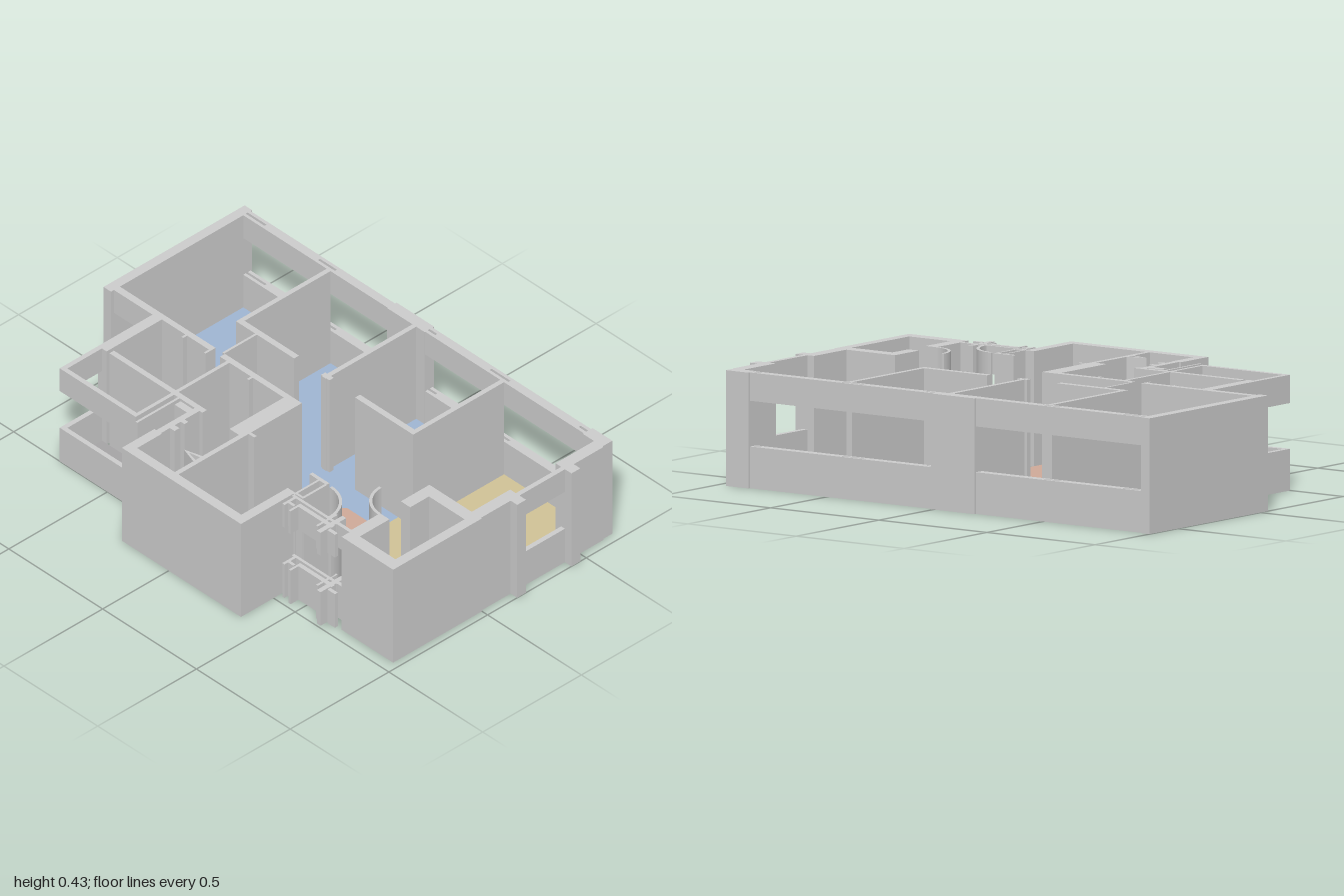
import * as THREE from 'three';

const HEIGHT = 0.43, SILL = 0.155, LINTEL = 0.325, FLOOR = 0.004;
const grey = new THREE.MeshStandardMaterial({ color: 0xcccccc });

export function createModel() {
  const model = new THREE.Group();

  const add = (parent, name, geometry, material = grey) => {
    const mesh = new THREE.Mesh(geometry, material);
    mesh.name = name;
    parent.add(mesh);
    return mesh;
  };

  // Upright block over the plan rectangle x0..x1, z0..z1
  const block = (parent, name, [x0, x1, z0, z1], y0 = 0, y1 = HEIGHT) =>
    add(parent, name, new THREE.BoxGeometry(x1 - x0, y1 - y0, z1 - z0))
      .position.set((x0 + x1) / 2, (y0 + y1) / 2, (z0 + z1) / 2);

  const section = (name) => {
    const g = new THREE.Group();
    g.name = name;
    model.add(g);
    return g;
  };
  const walls = (name, rects) => {
    const g = section(name);
    rects.forEach((r) => block(g, 'wall', r));
  };
  // Walls left open between sill and lintel
  const openWalls = (name, rects) => {
    const g = section(name);
    rects.forEach((r) => {
      block(g, 'sill', r, 0, SILL);
      block(g, 'lintel', r, LINTEL, HEIGHT);
    });
  };

  // Plan shape raised upwards from the ground
  const raise = (shape, depth) =>
    new THREE.ExtrudeGeometry(shape, { depth, bevelEnabled: false, curveSegments: 16 }).rotateX(-Math.PI / 2);

  const floors = section('floors');
  const floor = (name, color, points) => {
    const shape = new THREE.Shape(points.map(([x, z]) => new THREE.Vector2(x, -z)));
    add(floors, name, raise(shape, FLOOR), new THREE.MeshStandardMaterial({ color }));
  };
  const rect = (x0, x1, z0, z1) => [[x0, z0], [x1, z0], [x1, z1], [x0, z1]];

  // Floors
  const BLUE = 0x9fb5d2, TEAL = 0x96c0c2;
  floor('westRoomFloor', BLUE, [[-0.96, -0.625], [-0.515, -0.625], [-0.515, -0.165], [-0.41, -0.165], [-0.41, 0], [-0.96, 0]]);
  floor('middleRoomFloor', BLUE, rect(-0.495, -0.055, -0.625, -0.19));
  floor('corridorFloor', BLUE, [[-0.41, -0.165], [-0.2, -0.165], [-0.2, -0.19], [-0.04, -0.19], [-0.04, 0.01], [-0.41, 0.01]]);
  floor('eastRoomFloor', BLUE, [[-0.04, -0.625], [0.41, -0.625], [0.41, -0.19], [0.35, -0.165], [0.35, -0.067],
    [0.18, -0.067], [0.11, 0], [-0.04, 0]]);
  floor('livingFloor', 0xd0c296, [[0.43, -0.625], [0.915, -0.625], [0.915, -0.43], [0.945, -0.43], [0.945, -0.195],
    [0.915, -0.195], [0.915, 0], [0.69, 0], [0.69, 0.14], [0.57, 0.14], [0.35, -0.067], [0.35, -0.175], [0.43, -0.175]]);
  floor('hallFloor', 0xcfaa99, [[0.18, -0.067], [0.35, -0.067], [0.57, 0.14], [0.605, 0.225], [0.69, 0.26], [0.69, 0.39],
    [0.585, 0.4], [0.545, 0.305], [0.45, 0.265], [0.34, 0.265], [0.34, 0.39], [0.345, 0.625], [0.01, 0.625], [0.01, 0], [0.11, 0]]);
  floor('westBathFloor', TEAL, rect(-0.71, -0.365, 0.025, 0.28));
  floor('eastBathFloor', TEAL, rect(-0.35, -0.055, 0.025, 0.28));
  floor('balconyFloor', 0xa6a4a6, rect(-0.735, -0.365, 0.305, 0.48));
  floor('kitchenFloor', 0xb4b5ab, rect(-0.215, -0.01, 0.3, 0.625));
  floor('shaftFloor', 0xc4bfb5, rect(0.74, 0.93, 0.05, 0.4));

  // Two door swings: floor sector and thin curved leaf
  const swing = (x, z, r, from) => {
    const to = from + Math.PI / 2, t = 0.012;
    const sector = new THREE.Shape();
    sector.moveTo(x, -z);
    sector.absarc(x, -z, r - t, from, to, false);
    add(floors, 'doorSwingFloor', raise(sector, FLOOR), new THREE.MeshStandardMaterial({ color: 0xc4bfb5 }));
    const leaf = new THREE.Shape();
    leaf.absarc(x, -z, r, from, to, false);
    leaf.absarc(x, -z, r - t, to, from, true);
    add(model, 'curvedDoorLeaf', raise(leaf, HEIGHT));
  };
  swing(0.69, 0.14, 0.12, Math.PI);
  swing(0.45, 0.4, 0.135, 0);

  // Outer walls
  walls('westWall', [[-1, -0.96, -0.67, 0.045]]);
  walls('backPiers', [[-0.19, 0.01, -0.67, -0.622], [0.855, 0.96, -0.67, -0.62]]);
  walls('eastPiers', [
    [0.915, 0.965, -0.62, -0.425], [0.965, 1, -0.47, -0.425],
    [0.915, 0.965, -0.195, 0], [0.965, 1, -0.195, -0.15],
  ]);
  openWalls('eastWindow', [[0.945, 0.965, -0.425, -0.195]]);

  // Back windows: two leaves with narrow slots between the fillings
  openWalls('backWindows', [
    ...[[-0.96, -0.19], [0.01, 0.855]].flatMap(([a, b]) => [[a, b, -0.662, -0.648], [a, b, -0.638, -0.625]]),
    ...[[-0.86, -0.575], [-0.485, -0.19], [0.05, 0.34], [0.44, 0.815]].map(([a, b]) => [a, b, -0.648, -0.638]),
  ]);

  // Thin partitions between the back rooms
  walls('backPartitions', [
    [-0.515, -0.495, -0.625, -0.165], [-0.495, -0.205, -0.19, -0.165],
    [-0.055, -0.035, -0.625, -0.165], [-0.065, -0.02, -0.19, -0.168],
    [0.41, 0.43, -0.625, -0.165], [0.12, 0.41, -0.19, -0.165],
    [-0.413, -0.403, -0.165, 0],
  ]);

  // Bathrooms
  openWalls('westRoomFrontWindow', [[-0.96, -0.755, 0, 0.03]]);
  walls('bathroomWalls', [
    [-0.755, -0.45, 0, 0.025], [-0.4, -0.055, 0, 0.025],
    [-0.755, -0.71, 0.025, 0.305], [-0.365, -0.35, 0.025, 0.305],
    [-0.695, -0.2, 0.282, 0.305], [-0.06, 0.01, 0, 0.3],
    [-0.585, -0.575, 0.025, 0.045], [-0.46, -0.45, 0.025, 0.05], [-0.235, -0.225, 0.025, 0.045],
  ]);

  // Balcony parapet and upper band
  openWalls('balconyRails', [
    [-0.755, -0.735, 0.305, 0.5], [-0.735, -0.35, 0.48, 0.5], [-0.365, -0.35, 0.305, 0.48],
  ]);
  openWalls('serviceWindow', [[-0.33, -0.32, 0.305, 0.52], [-0.305, -0.24, 0.315, 0.345]]);

  // Kitchen and hall
  walls('frontBlockWalls', [
    [-0.25, 0.385, 0.625, 0.665], [-0.25, -0.21, 0.5, 0.625], [-0.24, -0.215, 0.305, 0.5],
    [-0.01, 0.01, 0.3, 0.625], [0.345, 0.385, 0.39, 0.625],
    [-0.215, -0.195, 0.38, 0.4], [-0.215, -0.19, 0.43, 0.455], [0.01, 0.04, 0.257, 0.27],
  ]);
  // V-shaped door stop
  const stop = new THREE.Shape([[-0.085, 0.507], [-0.01, 0.485], [-0.01, 0.497], [-0.06, 0.507], [-0.01, 0.519], [-0.01, 0.531]]
    .map(([x, z]) => new THREE.Vector2(x, -z)));
  add(model, 'doorStop', raise(stop, HEIGHT));

  // Entrance: hollow pier, then posts and bars
  walls('entrancePier', [
    [0.34, 0.43, 0.26, 0.275], [0.385, 0.394, 0.275, 0.4],
    [0.422, 0.432, 0.275, 0.39], [0.394, 0.43, 0.385, 0.395],
  ]);
  openWalls('entranceFrame', [
    [0.39, 0.63, 0.4, 0.412], [0.445, 0.63, 0.422, 0.44], [0.4, 0.412, 0.412, 0.47],
    [0.412, 0.44, 0.44, 0.452], [0.445, 0.455, 0.44, 0.48], [0.58, 0.59, 0.37, 0.47],
    [0.605, 0.625, 0.36, 0.49], [0.63, 0.67, 0.445, 0.46], [0.625, 0.695, 0.395, 0.41],
  ]);

  // Corner shaft with a doorway on its inner side
  walls('shaftWalls', [
    [0.69, 0.97, 0, 0.05], [0.695, 0.97, 0.4, 0.45], [0.93, 0.97, 0.05, 0.4],
    [0.69, 0.74, 0.05, 0.145], [0.69, 0.74, 0.25, 0.4],
  ]);

  return model;
}
